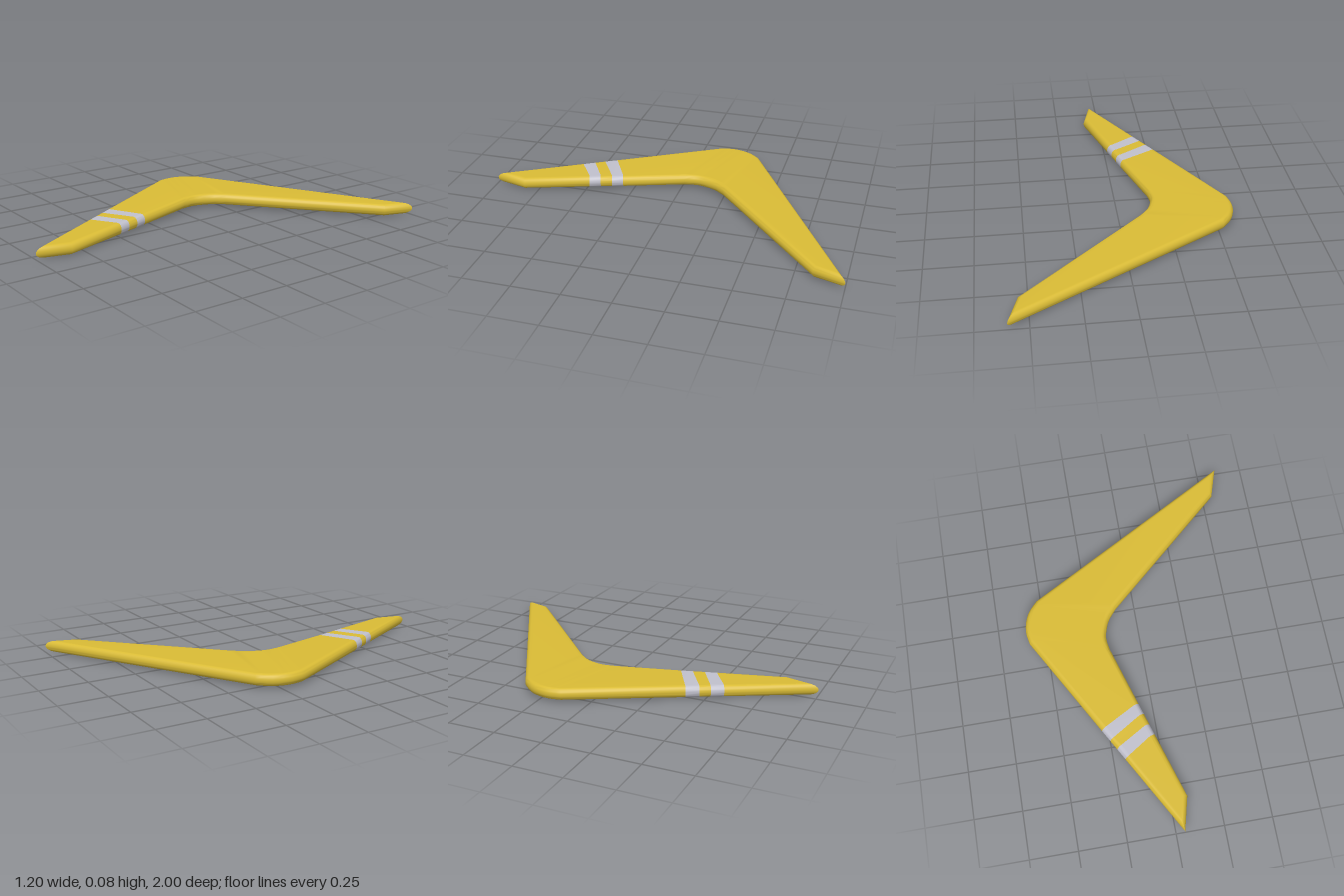
import * as THREE from 'three';
import { toCreasedNormals } from 'three/addons/utils/BufferGeometryUtils.js';

const HALF = 0.031;   // half thickness
const ROUND = 0.024;  // width of the rounded rim
const STEPS = 6;      // rim segments per quarter turn

const v = (x, z) => new THREE.Vector2(x, z);
const spline = (pts) => new THREE.SplineCurve(pts.map((p) => v(...p))).getPoints(10);

// Rim profile from underside to top: [inset, height]
const rim = [[ROUND + 0.006, -HALF]];
for (let k = -STEPS; k <= STEPS; k++) {
  const a = (k / STEPS) * Math.PI / 2;
  rim.push([ROUND * (1 - Math.cos(a)), HALF * Math.sin(a)]);
}
rim.push([ROUND + 0.006, HALF]);

// Stations from back tip to front tip: outer edge, inner edge, centre height
function makeStations() {
  const outerBend = spline([[-0.52, -0.365], [-0.568, -0.31], [-0.593, -0.25], [-0.6, -0.19], [-0.588, -0.125]]);
  const innerBend = spline([[-0.1, -0.25], [-0.148, -0.19], [-0.173, -0.125], [-0.179, -0.08], [-0.17, -0.02]]);
  const rows = [{ o: v(0.6, -1), i: v(0.55, -0.84), y: 0.036 }];
  outerBend.forEach((o, k) => rows.push({ o, i: innerBend[k], y: 0.045 }));
  const o0 = outerBend.at(-1), i0 = innerBend.at(-1);
  const o1 = v(0.046, 1), i1 = v(0.09, 0.825);
  // stripe borders on the outer and inner edge, then the tip
  for (const [to, ti] of [[0.48, 0.385], [0.534, 0.455], [0.578, 0.525], [0.63, 0.595], [1, 1]]) {
    rows.push({ o: o0.clone().lerp(o1, to), i: i0.clone().lerp(i1, ti), y: 0.045 - 0.014 * to });
  }
  return rows;
}

// Inward mitre vector at each point of the closed outline
function mitres(loop) {
  const n = loop.length;
  const normal = (a, b) => { const d = b.clone().sub(a).normalize(); return v(d.y, -d.x); };
  return loop.map((p, k) => {
    const n1 = normal(loop[(k + n - 1) % n], p), n2 = normal(p, loop[(k + 1) % n]);
    return n1.clone().add(n2).divideScalar(1 + n1.dot(n2));
  });
}

// Skin between stations from..to, with rounded ends at the tips
function skin(sections, from, to) {
  const pos = [];
  const quad = (a, b, c, d) => [a, b, c, a, c, d].forEach((p) => pos.push(...p));
  const m = sections[0].length;
  for (let r = from; r < to; r++) {
    const A = sections[r], B = sections[r + 1];
    for (let j = 0; j < m; j++) {
      const k = (j + 1) % m;
      quad(A[j], B[j], B[k], A[k]);
    }
  }
  for (let j = 0; j < rim.length - 1; j++) {
    const cap = (S) => [S[j], S[j + 1], S[m - 2 - j], S[m - 1 - j]];
    if (from === 0) quad(...cap(sections[0]));
    if (to === sections.length - 1) quad(...cap(sections[to]).reverse());
  }
  const g = new THREE.BufferGeometry();
  g.setAttribute('position', new THREE.Float32BufferAttribute(pos, 3));
  return toCreasedNormals(g, 0.6);
}

export function createModel() {
  const group = new THREE.Group();
  group.name = 'boomerang';
  const yellow = new THREE.MeshStandardMaterial({ color: 0xd9bb35 });
  const silver = new THREE.MeshStandardMaterial({ color: 0xc0c0cc });

  // Closed outline and cross-sections
  const rows = makeStations();
  const n = rows.length;
  const loop = [...rows.map((r) => r.o), ...rows.map((r) => r.i).reverse()];
  const inward = mitres(loop);
  const sections = rows.map((row, r) => {
    const at = (idx, [inset, h]) => {
      const p = loop[idx].clone().addScaledVector(inward[idx], inset);
      return [p.x, row.y + h, p.y];
    };
    return [
      ...rim.map((q) => at(r, q)),
      ...rim.map((q) => at(2 * n - 1 - r, q)).reverse(),
    ];
  });

  const add = (name, material, from, to) => {
    const mesh = new THREE.Mesh(skin(sections, from, to), material);
    mesh.name = name;
    group.add(mesh);
  };
  const s = n - 5; // first stripe border
  add('backArmAndElbow', yellow, 0, s);
  add('innerStripe', silver, s, s + 1);
  add('bandBetweenStripes', yellow, s + 1, s + 2);
  add('outerStripe', silver, s + 2, s + 3);
  add('frontTip', yellow, s + 3, s + 4);
  return group;
}
